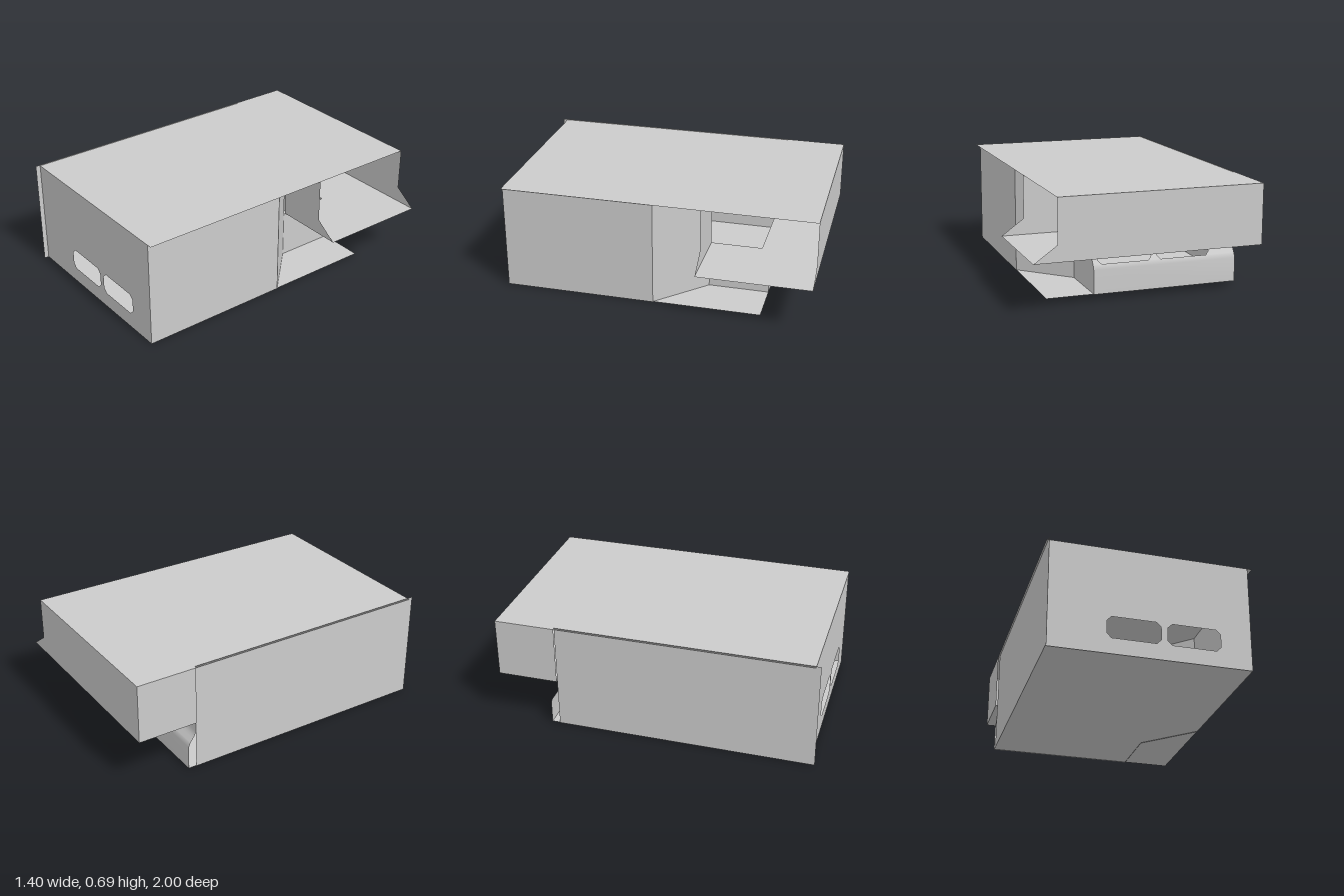
import * as THREE from 'three';
import { mergeGeometries, mergeVertices } from 'three/addons/utils/BufferGeometryUtils.js';

const metal = new THREE.MeshStandardMaterial({ color: 0xcccccc, side: THREE.DoubleSide });
const toPath = (pts, Kind) => new Kind(pts.map(([u, v]) => new THREE.Vector2(u, v)));

// Flat outline with holes; every point (u, v) is placed in space by a rule
function sheetGeometry(outline, place, holes = []) {
  const shape = toPath(outline, THREE.Shape);
  shape.holes = holes.map((h) => toPath(h, THREE.Path));
  const geo = new THREE.ShapeGeometry(shape);
  const pos = geo.attributes.position;
  for (let i = 0; i < pos.count; i++) pos.setXYZ(i, ...place(pos.getX(i), pos.getY(i)));
  geo.computeVertexNormals();
  return geo;
}

const rect = (u0, u1, v0, v1) => [[u0, v0], [u1, v0], [u1, v1], [u0, v1]];

// Slot with cut corners
function slot(u0, u1, v0, v1, c) {
  return [[u0 + c, v0], [u1 - c, v0], [u1, v0 + c], [u1, v1 - c],
    [u1 - c, v1], [u0 + c, v1], [u0, v1 - c], [u0, v0 + c]];
}

// Planes the sheets lie in
const atX = (x) => (z, y) => [x, y, z];
const atY = (y) => (x, z) => [x, y, z];
const atZ = (z) => (x, y) => [x, y, z];

export function createModel() {
  const model = new THREE.Group();
  const add = (name, geo) => {
    const mesh = new THREE.Mesh(geo, metal);
    mesh.name = name;
    model.add(mesh);
  };
  const sheet = (name, outline, place, holes) => add(name, sheetGeometry(outline, place, holes));

  // Main casing
  sheet('topPanel', rect(-0.7, 0.56, -1, 0.97), atY(0.68));
  sheet('bottomPanel', rect(-0.69, 0.53, -0.67, 0.97), atY(0.003));
  sheet('frontPanel', rect(-0.69, 0.53, 0, 0.68), atZ(0.97), [
    slot(-0.34, -0.02, 0.1, 0.235, 0.027),
    slot(0.02, 0.34, 0.1, 0.235, 0.027),
  ]);
  sheet('longSidePanel', rect(-0.62, 1, 0, 0.685), atX(-0.69));
  sheet('rearSidePanel', rect(-1, -0.62, 0.31, 0.68), atX(-0.7));
  sheet('shortSidePanel', rect(0.01, 0.97, 0, 0.68), atX(0.53));

  // Slanted wall leading into the recess
  sheet('slantedWall', rect(0, 1, 0, 0.68),
    (t, y) => [0.53 - 0.295 * t, y, 0.01 - 0.295 * t]);

  // Inner wall of the recess, following the bent rear wall
  const profile = [[-0.62, 0.31], [-0.62, 0.24], [-0.632, 0.215], [-0.66, 0.175], [-0.67, 0.15], [-0.67, 0]];
  sheet('recessWall', [[-0.285, 0], [-0.285, 0.31], ...profile], atX(0.235));

  // Raised rear compartment, with flared end walls and a floor
  const flared = (x0) => [[x0, 0.31], [0.7, 0.31], [0.56, 0.41], [0.56, 0.68], [x0, 0.68]];
  sheet('rearPanel', flared(-0.7), atZ(-1));
  sheet('flaredInnerPanel', flared(0.235), atZ(-0.295));
  sheet('rearFloor', [[-0.7, -1], [0.7, -1], [0.7, -0.295], [0.235, -0.295],
    [0.235, -0.62], [-0.7, -0.62]], atY(0.31));

  // Bent lower rear wall with two slots crossing the bend, made in bands
  const bend = (x, y) => {
    const i = Math.max(1, profile.findIndex((p) => p[1] <= y + 1e-6));
    const [[z0, y0], [z1, y1]] = [profile[i - 1], profile[i]];
    return [x, y, THREE.MathUtils.lerp(z0, z1, (y0 - y) / (y0 - y1))];
  };
  const slots = [[-0.52, -0.18], [-0.14, 0.2]];
  const bottom = 0.18, top = 0.295, c = 0.02;
  // Inset of the slot ends at height y
  const inset = (y) => Math.max(0, c - (y - bottom), c - (top - y));
  const levels = [0, 0.15, 0.175, bottom, bottom + c, 0.215, 0.24, top - c, top, 0.31];
  const bands = [];
  for (let k = 0; k + 1 < levels.length; k++) {
    const [lo, hi] = [levels[k], levels[k + 1]];
    const open = lo >= bottom && hi <= top;
    const cuts = open ? slots : [];
    let left = [-0.69, -0.69];
    for (const [a, b] of [...cuts, null].map((s) => s ?? [0.235, 0])) {
      const [i0, i1] = b ? [inset(lo), inset(hi)] : [0, 0];
      bands.push(sheetGeometry([[left[0], lo], [a + i0, lo], [a + i1, hi], [left[1], hi]], bend));
      left = [b - i0, b - i1];
    }
  }
  const wall = mergeGeometries(bands);
  wall.deleteAttribute('uv');
  wall.deleteAttribute('normal');
  const smooth = mergeVertices(wall, 1e-4);
  smooth.computeVertexNormals();
  add('lowerRearWall', smooth);

  return model;
}
